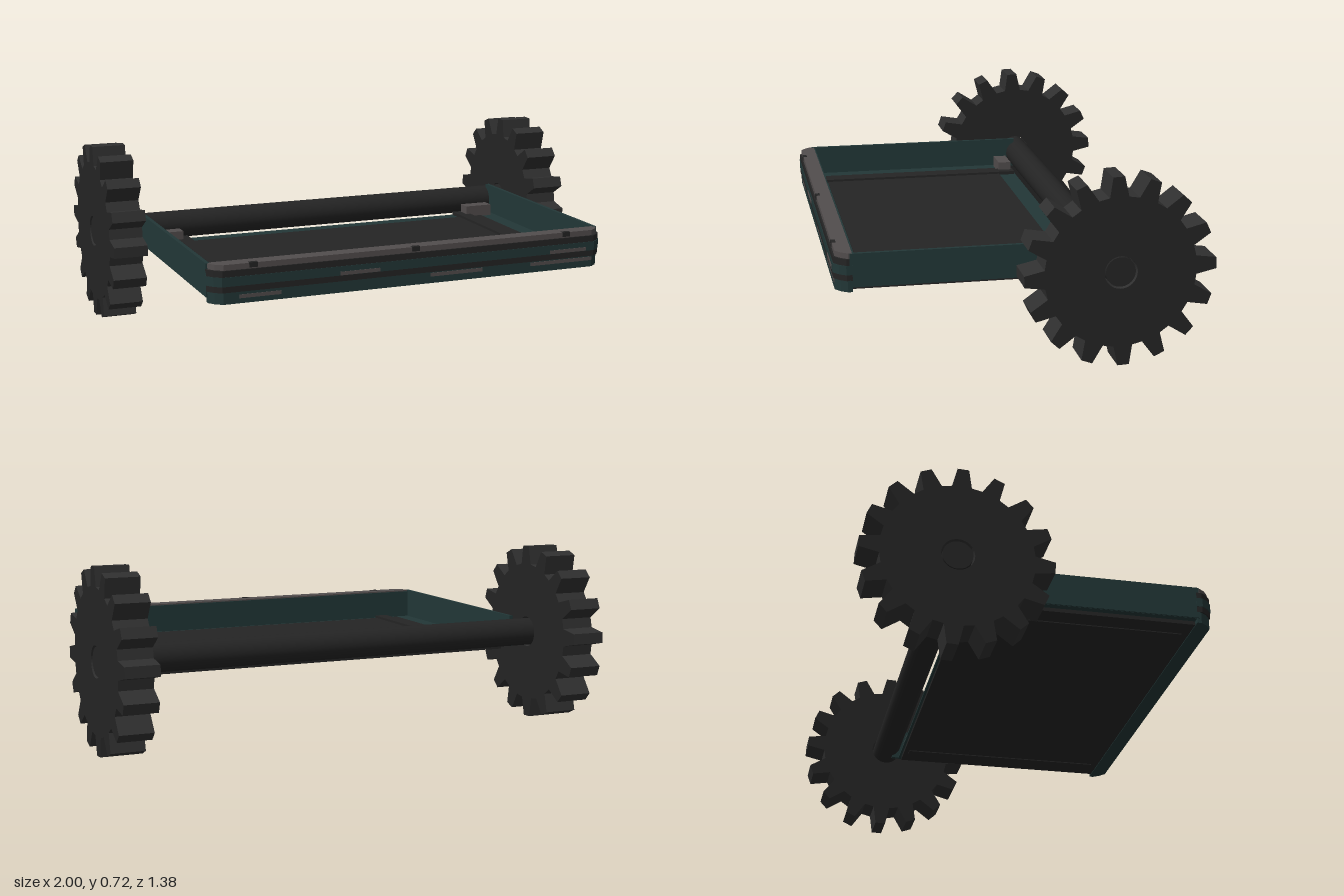
import * as THREE from 'three';

const paint = (name, color) => Object.assign(new THREE.MeshStandardMaterial({ color }), { name });

export function createModel() {
  const teal = paint('dark teal', 0x223737);
  const black = paint('charcoal', 0x242424);
  const steel = paint('worn steel', 0x524d4d);
  const edge = paint('tooth edge grey', 0x303030);
  const model = new THREE.Group();
  model.name = 'trayWithGears';

  const add = (name, geometry, material, x = 0, y = 0, z = 0) => {
    const mesh = new THREE.Mesh(geometry, material);
    mesh.name = name;
    mesh.position.set(x, y, z);
    model.add(mesh);
    return mesh;
  };
  // Box given by its limits on each axis
  const box = (name, material, x0, x1, y0, y1, z0, z1) =>
    add(name, new THREE.BoxGeometry(x1 - x0, y1 - y0, z1 - z0), material,
      (x0 + x1) / 2, (y0 + y1) / 2, (z0 + z1) / 2);

  const axleY = 0.358, axleZ = -0.33;

  // Gears: sixteen tapered teeth around a disc with an axle hole
  const teeth = 16, step = Math.PI * 2 / teeth;
  const profile = new THREE.Shape();
  for (let i = 0; i < teeth; i++) {
    const a = i * step + 0.045;
    [[-0.125, 0.284], [-0.06, 0.358], [0.06, 0.358], [0.125, 0.284]].forEach(([da, r], k) => {
      const px = r * Math.cos(a + da), py = r * Math.sin(a + da);
      if (i + k === 0) profile.moveTo(px, py); else profile.lineTo(px, py);
    });
  }
  profile.closePath();
  profile.holes.push(new THREE.Path().absarc(0, 0, 0.062, 0, Math.PI * 2, true));
  const gearGeometry = new THREE.ExtrudeGeometry(profile, { depth: 0.135, bevelEnabled: false, curveSegments: 16 });
  gearGeometry.rotateY(Math.PI / 2);
  add('leftGear', gearGeometry, [black, edge], 0.865, axleY, axleZ);
  add('rightGear', gearGeometry, [black, edge], -1, axleY, axleZ);

  // Axle running through both gears
  const axle = new THREE.CylinderGeometry(0.056, 0.056, 1.99, 24);
  axle.rotateZ(Math.PI / 2);
  add('axle', axle, black, 0, axleY, axleZ);

  // Tray floor, its teal border and the raised centre panel
  box('underPlate', black, -0.78, 0.78, 0.281, 0.298, -0.27, 0.62);
  box('floorBorder', teal, -0.805, 0.805, 0.296, 0.304, -0.28, 0.63);
  box('floorPanel', black, -0.72, 0.72, 0.30, 0.309, -0.205, 0.575);

  // Side walls, floor rails, lower lips and rear brackets
  for (const s of [-1, 1]) {
    const side = s > 0 ? 'left' : 'right';
    const pair = (name, material, a, b, ...rest) =>
      box(side + name, material, Math.min(s * a, s * b), Math.max(s * a, s * b), ...rest);
    pair('Wall', teal, 0.795, 0.81, 0.297, 0.425, -0.31, 0.63);
    pair('FloorRail', black, 0.615, 0.67, 0.30, 0.318, -0.275, 0.59);
    pair('BottomRail', black, 0.66, 0.70, 0.277, 0.285, -0.25, 0.59);
    pair('Bracket', steel, 0.65, 0.77, 0.30, 0.352, -0.265, -0.21);
  }

  // Front bumper: stacked layers with chamfered corners
  const layer = (name, material, y0, y1, inset) => {
    const w = 0.812 - inset, f = 0.688 - inset;
    const plan = new THREE.Shape([
      [-w, -0.62], [-w, -f + 0.045], [-w + 0.018, -f + 0.02], [-w + 0.045, -f],
      [w - 0.045, -f], [w - 0.018, -f + 0.02], [w, -f + 0.045], [w, -0.62],
    ].map(([x, y]) => new THREE.Vector2(x, y)));
    const geometry = new THREE.ExtrudeGeometry(plan, { depth: y1 - y0, bevelEnabled: false });
    geometry.rotateX(-Math.PI / 2);
    add(name, geometry, material, 0, y0, 0);
  };
  layer('bumperCap', steel, 0.404, 0.425, 0.008);
  layer('bumperUpperBand', black, 0.38, 0.404, 0.002);
  layer('bumperMiddleBand', teal, 0.345, 0.38, 0);
  layer('bumperGroove', black, 0.322, 0.345, 0.002);
  layer('bumperLowerBand', teal, 0.278, 0.322, 0.006);

  // Inner lining of the bumper
  box('bumperLining', teal, -0.797, 0.797, 0.30, 0.42, 0.614, 0.621);

  // Worn strips on the bumper face
  const strips = [
    [-0.31, -0.15, 0.352, 0.688], [0.57, 0.73, 0.352, 0.688],
    [-0.70, -0.54, 0.303, 0.682], [0.06, 0.28, 0.31, 0.682], [0.49, 0.76, 0.31, 0.682],
  ];
  for (const [x0, x1, y, z] of strips)
    box('bumperStrip', steel, x0, x1, y - 0.006, y + 0.008, z - 0.003, z + 0.002);
  for (const x of [-0.645, 0, 0.645])
    box('bumperNotch', black, x - 0.016, x + 0.016, 0.408, 0.4265, 0.665, 0.682);

  return model;
}
